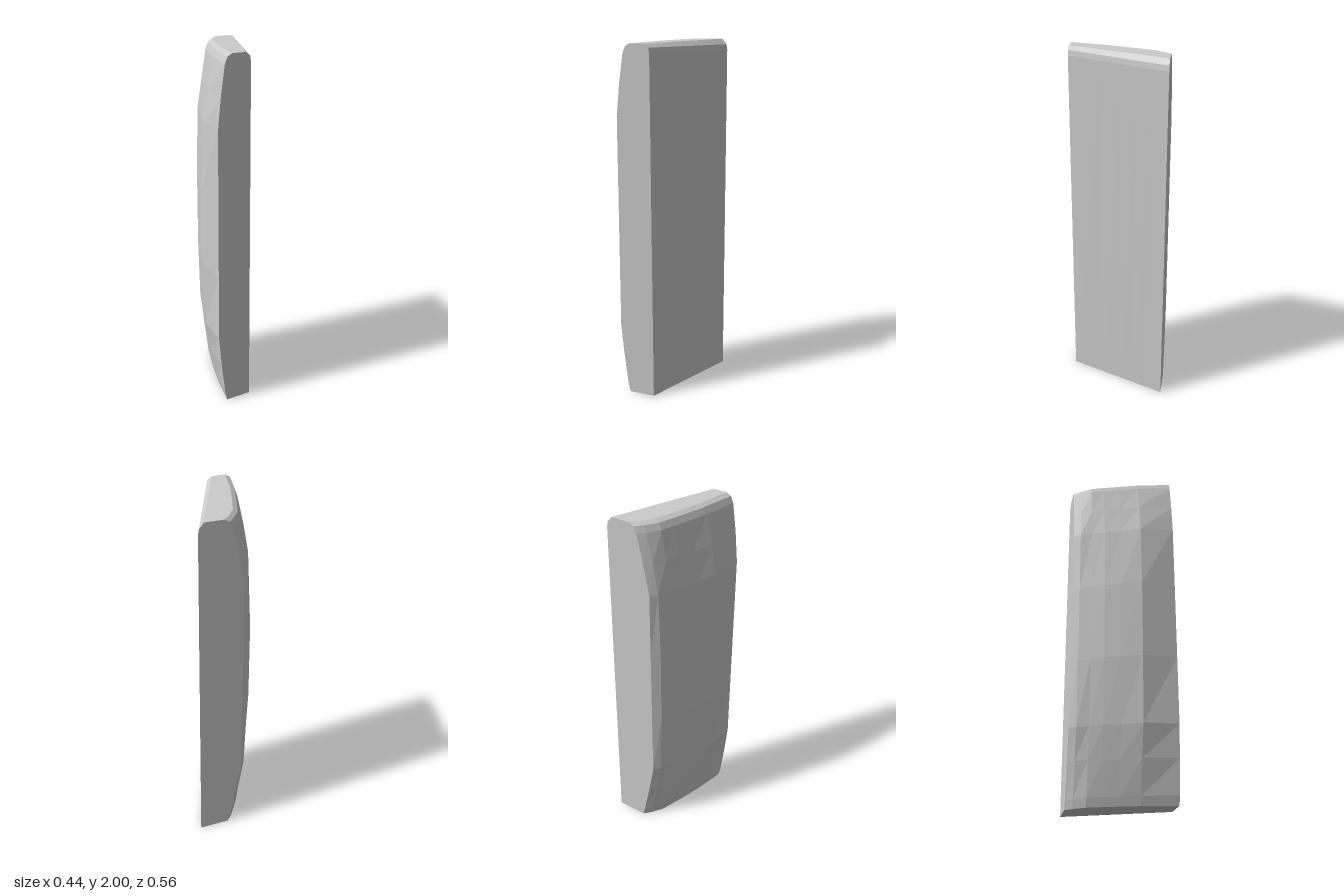
import * as THREE from 'three';

// Stations from front to back: [z, shoulder x, widest x, bulge lost above and below mid height]
const STATIONS = [
  [0.281, -0.18, -0.22, 0],
  [0.09, -0.135, -0.22, 0.017],
  [-0.02, -0.1, -0.178, 0.022],
  [-0.11, -0.07, -0.142, 0.02],
  [-0.18, -0.045, -0.107, 0.017],
  [-0.245, 0.0, -0.075, 0.01],
  [-0.281, 0.035, -0.035, 0],
];

// Upright profile of one station: flat inner side, rounded top, bowed outer side
function profile([z, shoulder, wide, loss]) {
  const flat = -0.02 + ((0.281 - z) / 0.562) * 0.24;
  const back = (0.281 - z) / 0.562;
  const side = wide + loss;
  const mid = shoulder * 0.5 + side * 0.5;
  return [
    [flat, 0],
    [flat - 0.01, 1.95 - 0.01 * back],
    [flat - 0.015, 1.98 - 0.01 * back],
    [flat - 0.04, 2],
    [shoulder + 0.04, 2],
    [shoulder + 0.015, 1.985],
    [shoulder, 1.95],
    [mid - 0.003, 1.79],
    [side, 1.62],
    [wide, 1.25],
    [wide, 0.8],
    [side, 0.42],
    [mid - 0.003, 0.24],
    [shoulder, 0.05],
    [shoulder + 0.012, 0],
  ].map(([x, y]) => new THREE.Vector3(x, y, z));
}

// Skin the profiles from front to back and close both ends
function loft(rings) {
  const n = rings[0].length;
  const index = [];
  for (let s = 0; s < rings.length - 1; s++) {
    for (let i = 0; i < n; i++) {
      const k = (i + 1) % n;
      const a = s * n + i, b = s * n + k;
      const c = b + n, d = a + n;
      index.push(a, d, c, a, c, b);
    }
  }
  const cap = (ring) => THREE.ShapeUtils.triangulateShape(ring.map((p) => new THREE.Vector2(p.x, p.y)), []);
  const last = (rings.length - 1) * n;
  for (const [a, b, c] of cap(rings[0])) index.push(a, b, c);
  for (const [a, b, c] of cap(rings[rings.length - 1])) index.push(last + a, last + c, last + b);

  const indexed = new THREE.BufferGeometry().setFromPoints(rings.flat());
  indexed.setIndex(index);
  const geometry = indexed.toNonIndexed();
  geometry.computeVertexNormals();
  return geometry;
}

export function createModel() {
  const group = new THREE.Group();
  group.name = 'slantedSlab';
  const material = new THREE.MeshStandardMaterial({ color: 0xcccccc, flatShading: true });
  const slab = new THREE.Mesh(loft(STATIONS.map(profile)), material);
  slab.name = 'slab';
  group.add(slab);
  return group;
}
